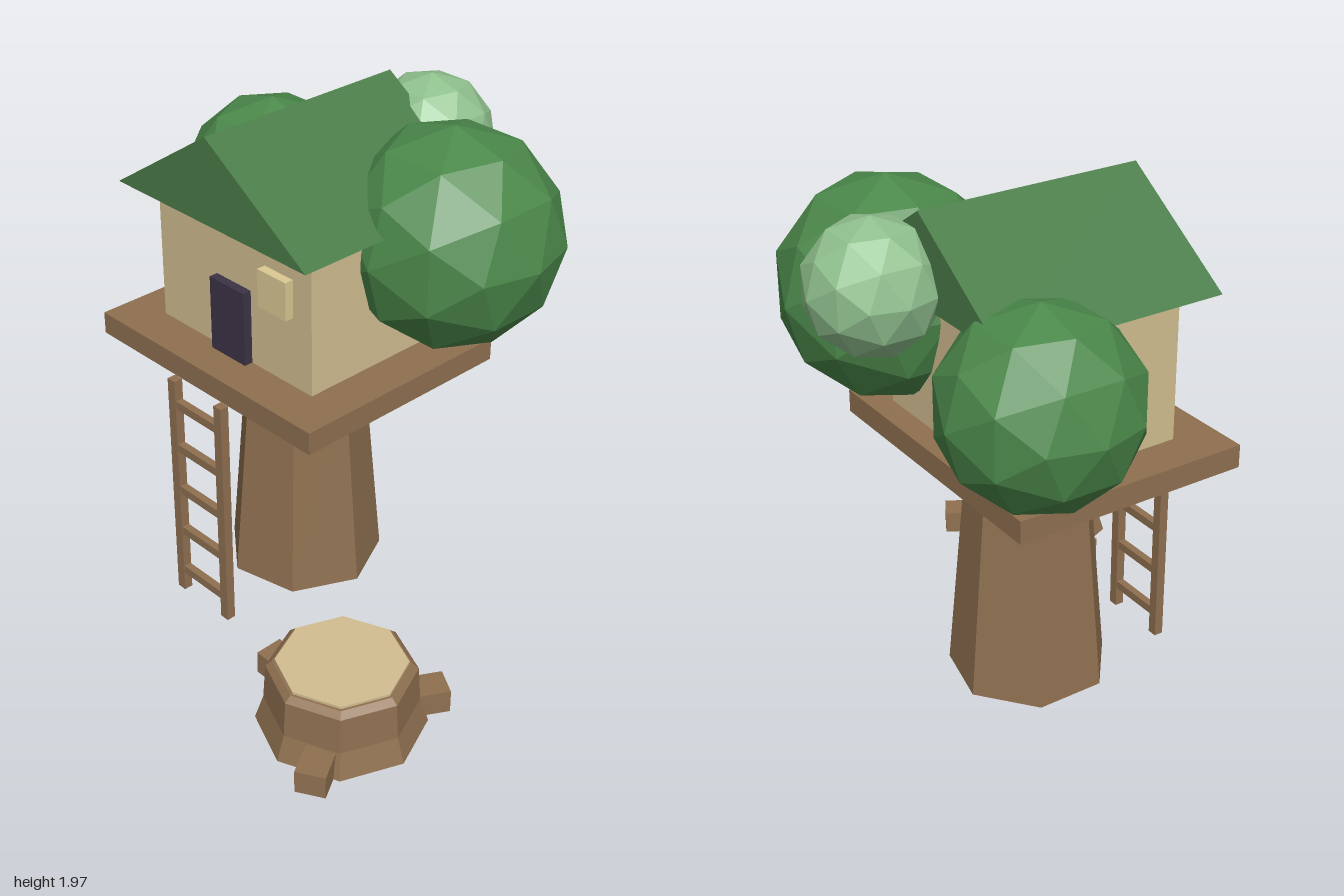
import * as THREE from 'three';

const paint = (color) => new THREE.MeshStandardMaterial({ color, flatShading: true });

const wood = paint(0x8f7050);
const cream = paint(0xd2be91);
const windowTan = paint(0xdcc993);
const doorPurple = paint(0x3c3346);
const roofGreen = paint(0x4a7c48);
const leafGreen = paint(0x4b884a);
const paleLeaf = paint(0x90c08e);

function add(parent, name, geometry, material, x = 0, y = 0, z = 0) {
  const mesh = new THREE.Mesh(geometry, material);
  mesh.name = name;
  mesh.position.set(x, y, z);
  parent.add(mesh);
  return mesh;
}

const box = (w, h, d) => new THREE.BoxGeometry(w, h, d);

// Central seven-sided trunk and the deck it carries
function addTrunkAndDeck(model, cx) {
  const trunk = new THREE.CylinderGeometry(0.23, 0.315, 0.98, 7, 1, false, Math.PI / 2);
  add(model, 'trunk', trunk, wood, cx, 0.49, -0.075);
  add(model, 'platform', box(1.16, 0.09, 0.94), wood, cx, 1.024, -0.035);
}

// Cabin with gable roof, door and window
function createHouse(cx) {
  const house = new THREE.Group();
  house.name = 'house';
  add(house, 'walls', box(0.825, 0.57, 0.676), cream, cx, 1.353, -0.073);

  const gable = new THREE.Shape([
    new THREE.Vector2(-0.503, 0),
    new THREE.Vector2(0.503, 0),
    new THREE.Vector2(0, 0.335),
  ]);
  const roof = new THREE.ExtrudeGeometry(gable, { depth: 0.9, bevelEnabled: false });
  add(house, 'roof', roof, roofGreen, cx, 1.636, -0.522);

  add(house, 'door', box(0.185, 0.302, 0.06), doorPurple, cx, 1.219, 0.271);
  add(house, 'window', box(0.147, 0.152, 0.06), windowTan, 0.077, 1.427, 0.271);
  return house;
}

// Ladder with two rails and five rungs
function createLadder(cx) {
  const ladder = new THREE.Group();
  ladder.name = 'ladder';
  for (const side of [-1, 1]) {
    add(ladder, 'ladderRail', box(0.04, 0.98, 0.037), wood, side * 0.131, 0.49, 0);
  }
  for (let i = 0; i < 5; i++) {
    add(ladder, 'ladderRung', box(0.224, 0.034, 0.03), wood, 0, 0.099 + i * 0.1945, 0);
  }
  ladder.position.set(cx, 0, 0.455);
  return ladder;
}

// Octagonal stump with a pale cut face and three stubby roots
function createStump() {
  const stump = new THREE.Group();
  stump.name = 'stump';
  const profile = [
    [0, 0], [0.315, 0], [0.283, 0.1], [0.274, 0.245], [0.25, 0.267], [0, 0.267],
  ].map(([r, y]) => new THREE.Vector2(r, y));
  add(stump, 'stumpBody', new THREE.LatheGeometry(profile, 8), wood);
  add(stump, 'stumpTop', new THREE.CylinderGeometry(0.24, 0.24, 0.02, 8), cream, 0, 0.267, 0);

  for (const degrees of [60, 180, 300]) {
    const a = THREE.MathUtils.degToRad(degrees);
    const root = add(stump, 'root', box(0.16, 0.094, 0.113), wood,
      0.315 * Math.cos(a), 0.047, 0.315 * Math.sin(a));
    root.rotation.y = -a;
  }
  stump.position.set(0.682, 0, 0.53);
  return stump;
}

export function createModel() {
  const model = new THREE.Group();
  model.name = 'treehouse';
  const cx = -0.167;

  addTrunkAndDeck(model, cx);
  model.add(createHouse(cx), createLadder(cx), createStump());

  // Faceted leaf clumps
  const clumps = [
    ['foliageLeft', 0.425, leafGreen, 0.3, 1.515, -0.375],
    ['foliageRight', 0.37, leafGreen, -0.633, 1.405, -0.35],
    ['foliageBack', 0.25, paleLeaf, -0.072, 1.703, -0.648],
  ];
  for (const [name, radius, material, x, y, z] of clumps) {
    add(model, name, new THREE.IcosahedronGeometry(radius, 1), material, x, y, z);
  }
  return model;
}
